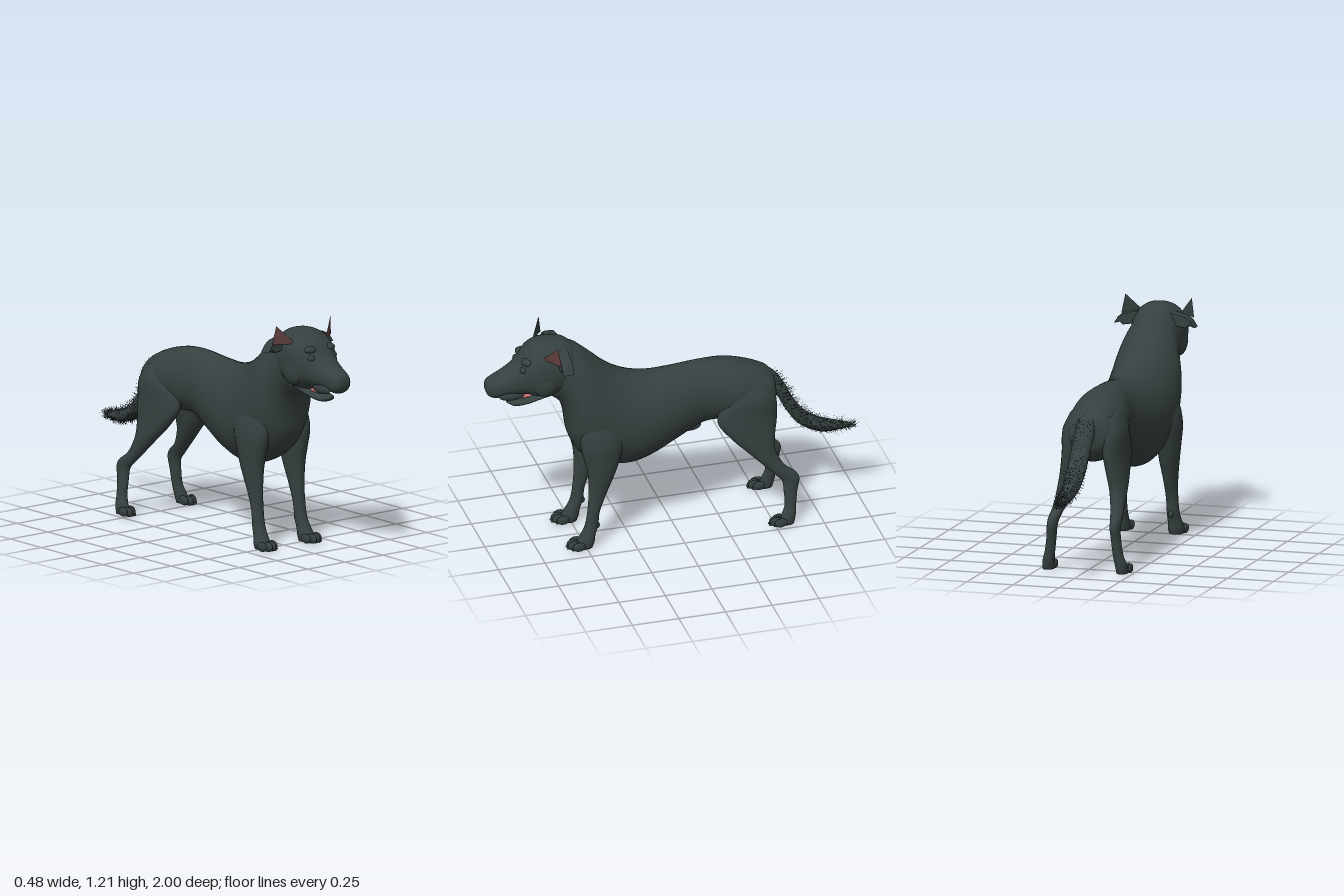
import * as THREE from 'three';

const mat = (name, color, extra = {}) => Object.assign(new THREE.MeshStandardMaterial({ color, ...extra }), { name });

// Smooth skin through rings [frontZ, frontY, backZ, backY, halfWidth, centreX];
// each ring spans two points of the side outline.
function loft(rings, { side = 1, power = 1, seg = 28, sub = 5 } = {}) {
  const a = new THREE.CatmullRomCurve3(rings.map(r => new THREE.Vector3((r[5] || 0) * side, r[1], r[0])));
  const b = new THREE.CatmullRomCurve3(rings.map(r => new THREE.Vector3(r[4], r[3], r[2])));
  const n = (rings.length - 1) * sub, pos = [], idx = [];
  const bend = v => Math.sign(v) * Math.abs(v) ** power;
  for (let i = 0; i <= n; i++) {
    const p = a.getPoint(i / n), q = b.getPoint(i / n);
    const cy = (p.y + q.y) / 2, cz = (p.z + q.z) / 2;
    for (let j = 0; j < seg; j++) {
      const t = j / seg * Math.PI * 2, c = bend(Math.cos(t)), s = bend(Math.sin(t));
      pos.push(p.x + s * q.x, cy + c * (p.y - cy), cz + c * (p.z - cz));
      if (i < n) {
        const k = i * seg + j, m = i * seg + (j + 1) % seg;
        idx.push(k, k + seg, m, m, k + seg, m + seg);
      }
    }
  }
  // end caps
  [[0, 0], [n, 1]].forEach(([i, end]) => {
    const p = a.getPoint(i / n), q = b.getPoint(i / n), centre = pos.length / 3;
    pos.push(p.x, (p.y + q.y) / 2, (p.z + q.z) / 2);
    for (let j = 0; j < seg; j++) {
      const k = i * seg + j, m = i * seg + (j + 1) % seg;
      if (end) idx.push(centre, m, k); else idx.push(centre, k, m);
    }
  });
  const g = new THREE.BufferGeometry();
  g.setAttribute('position', new THREE.Float32BufferAttribute(pos, 3));
  g.setIndex(idx);
  g.computeVertexNormals();
  return g;
}

function triangle(points) {
  const g = new THREE.BufferGeometry();
  g.setAttribute('position', new THREE.Float32BufferAttribute(points.flat(), 3));
  g.computeVertexNormals();
  return g;
}

export function createModel() {
  const model = new THREE.Group();
  model.name = 'dog';
  const coat = mat('dark coat', 0x364040);
  const fur = mat('fur strands', 0x2c3535, { side: THREE.DoubleSide });
  const inner = mat('inner ear', 0x5e3e3e);
  const pink = mat('tongue pink', 0xc96b70);

  const add = (name, geometry, material = coat) => {
    const m = new THREE.Mesh(geometry, material);
    m.name = name;
    model.add(m);
    return m;
  };
  const blob = (name, x, y, z, rx, ry, rz, material = coat) => {
    const m = add(name, new THREE.SphereGeometry(1, 20, 14), material);
    m.position.set(x, y, z);
    m.scale.set(rx, ry, rz);
    return m;
  };

  // Torso and neck
  add('torso', loft([
    [-.55, .77, -.55, .69, .04], [-.525, .82, -.53, .62, .11], [-.45, .865, -.46, .56, .14],
    [-.3, .91, -.32, .575, .15], [-.15, .92, -.17, .575, .125], [0, .905, -.02, .505, .15],
    [.12, .9, .12, .435, .175], [.22, .92, .24, .4, .183], [.3, .955, .38, .425, .188],
    [.37, 1.005, .5, .5, .188], [.42, 1.05, .555, .6, .18], [.47, 1.095, .575, .72, .162],
    [.52, 1.135, .605, .81, .14], [.58, 1.165, .66, .86, .125],
  ], { seg: 40 }));
  blob('sheath', 0, .548, -.1, .025, .03, .06);

  // Head with upper jaw, then the dropped lower jaw
  add('head', loft([
    [.5, 1.1, .56, .9, .1], [.57, 1.165, .62, .88, .128], [.65, 1.185, .68, .87, .138],
    [.73, 1.175, .74, .875, .136], [.79, 1.13, .79, .893, .115], [.84, 1.07, .83, .895, .09],
    [.9, 1.03, .89, .895, .074], [.96, 1.003, .95, .885, .06], [.99, .985, .985, .9, .044],
    [1, .96, 1, .935, .02],
  ], { power: .88, seg: 36 }));
  add('lowerJaw', loft([
    [.62, .92, .64, .87, .07], [.72, .885, .72, .856, .07], [.8, .868, .8, .828, .057],
    [.85, .862, .855, .826, .045], [.885, .856, .885, .842, .02],
  ], { power: .9 }));
  blob('tongue', 0, .872, .79, .033, .012, .075, pink);
  blob('nose', 0, .965, .975, .034, .025, .025);

  for (const s of [-1, 1]) {
    const label = s > 0 ? 'left' : 'right';
    blob(label + 'Eyelid', s * .07, 1.055, .812, .024, .017, .02);
    blob(label + 'Brow', s * .062, 1.095, .79, .035, .02, .03);
    blob(label + 'Nostril', s * .02, .96, .987, .012, .012, .012);
    blob(label + 'Lip', s * .05, .905, .87, .024, .028, .07);
    blob(label + 'Cheek', s * .1, .98, .7, .04, .08, .075);

    // Upright ear tip: brown in front, coat behind
    const ear = [[s * .1, 1.12, .72], [s * .197, 1.115, .645], [s * .18, 1.215, .66]];
    const back = [...ear].reverse();
    add(label + 'EarInside', triangle(s > 0 ? ear : back), inner);
    add(label + 'EarBack', triangle(s > 0 ? back : ear));
    // Drooping ear flap
    const flap = new THREE.Shape([[.09, 1.145], [.17, 1.125], [.195, 1.105], [.215, 1.075],
      [.185, 1.085], [.17, 1.07], [.11, 1.08]].map(([x, y]) => new THREE.Vector2(s * x, y)));
    const flapMesh = add(label + 'EarFlap', new THREE.ExtrudeGeometry(flap,
      { depth: .035, bevelSize: .004, bevelThickness: .012, bevelSegments: 2 }));
    flapMesh.position.z = .595;

    // Front leg
    add(label + 'FrontLeg', loft([
      [.47, .78, .33, .78, .04, .1], [.51, .7, .29, .7, .062, .125], [.525, .6, .29, .6, .068, .136],
      [.505, .5, .315, .5, .06, .138], [.487, .42, .345, .41, .052, .138], [.483, .3, .39, .3, .038, .138],
      [.49, .2, .425, .2, .032, .139], [.505, .12, .435, .12, .033, .141], [.53, .07, .45, .07, .037, .144],
      [.55, .035, .455, .035, .042, .146], [.55, .006, .465, .006, .038, .146],
    ], { side: s }));
    blob(label + 'WristPad', s * .138, .118, .438, .014, .018, .014);

    // Hind leg
    add(label + 'HindLeg', loft([
      [-.34, .82, -.49, .8, .04, .085], [-.26, .73, -.53, .72, .065, .1], [-.215, .61, -.535, .6, .06, .11],
      [-.28, .51, -.52, .5, .053, .125], [-.36, .43, -.518, .42, .045, .14], [-.45, .34, -.56, .33, .034, .155],
      [-.515, .275, -.622, .28, .028, .167], [-.545, .24, -.637, .25, .026, .17], [-.553, .18, -.625, .18, .025, .175],
      [-.555, .1, -.615, .1, .027, .185], [-.535, .05, -.61, .05, .031, .196], [-.52, .006, -.6, .006, .03, .2],
    ], { side: s }));

    // Paws: four toes on each foot
    for (const [name, cx, z, gap] of [['Front', .147, .555, .024], ['Hind', .203, -.515, .018]]) {
      for (let i = 0; i < 4; i++) {
        const mid = i === 1 || i === 2;
        const x = s * (cx + (i - 1.5) * gap), fz = z + (mid ? .012 : -.008);
        blob(`${label}${name}Toe${i + 1}`, x, .026, fz, gap * .62, .025, .034);
        blob(`${label}${name}Claw${i + 1}`, x, .014, fz + .03, .005, .007, .01);
      }
    }
  }

  // Tail, from tip to root
  const tailRings = [
    [-.97, .433, -.97, .425, .006, .02], [-.9, .458, -.91, .415, .024, .02], [-.8, .492, -.82, .412, .038, .02],
    [-.71, .55, -.745, .435, .046, .019], [-.645, .64, -.67, .485, .049, .015], [-.595, .74, -.61, .57, .05, .01],
    [-.53, .82, -.555, .67, .05, .004], [-.45, .855, -.49, .74, .045, 0],
  ];
  const tail = add('tail', loft(tailRings));

  // Short strands scattered over the tail
  let seed = 7;
  const rand = () => (seed = (seed * 16807) % 2147483647) / 2147483647;
  const P = tail.geometry.attributes.position, N = tail.geometry.attributes.normal;
  const v = new THREE.Vector3(), nrm = new THREE.Vector3(), strands = [];
  for (let i = 0; i < 1100; i++) {
    const k = Math.floor(rand() * 28 * 30);
    v.fromBufferAttribute(P, k);
    nrm.fromBufferAttribute(N, k);
    v.z += (rand() - .5) * .02;
    const len = .012 + rand() * .016;
    const tip = v.clone().addScaledVector(nrm, len);
    tip.z -= len * .5;
    strands.push([v.x - .0015, v.y, v.z], [v.x + .0015, v.y, v.z + .001], tip.toArray());
  }
  add('tailFur', triangle(strands), fur);

  return model;
}
